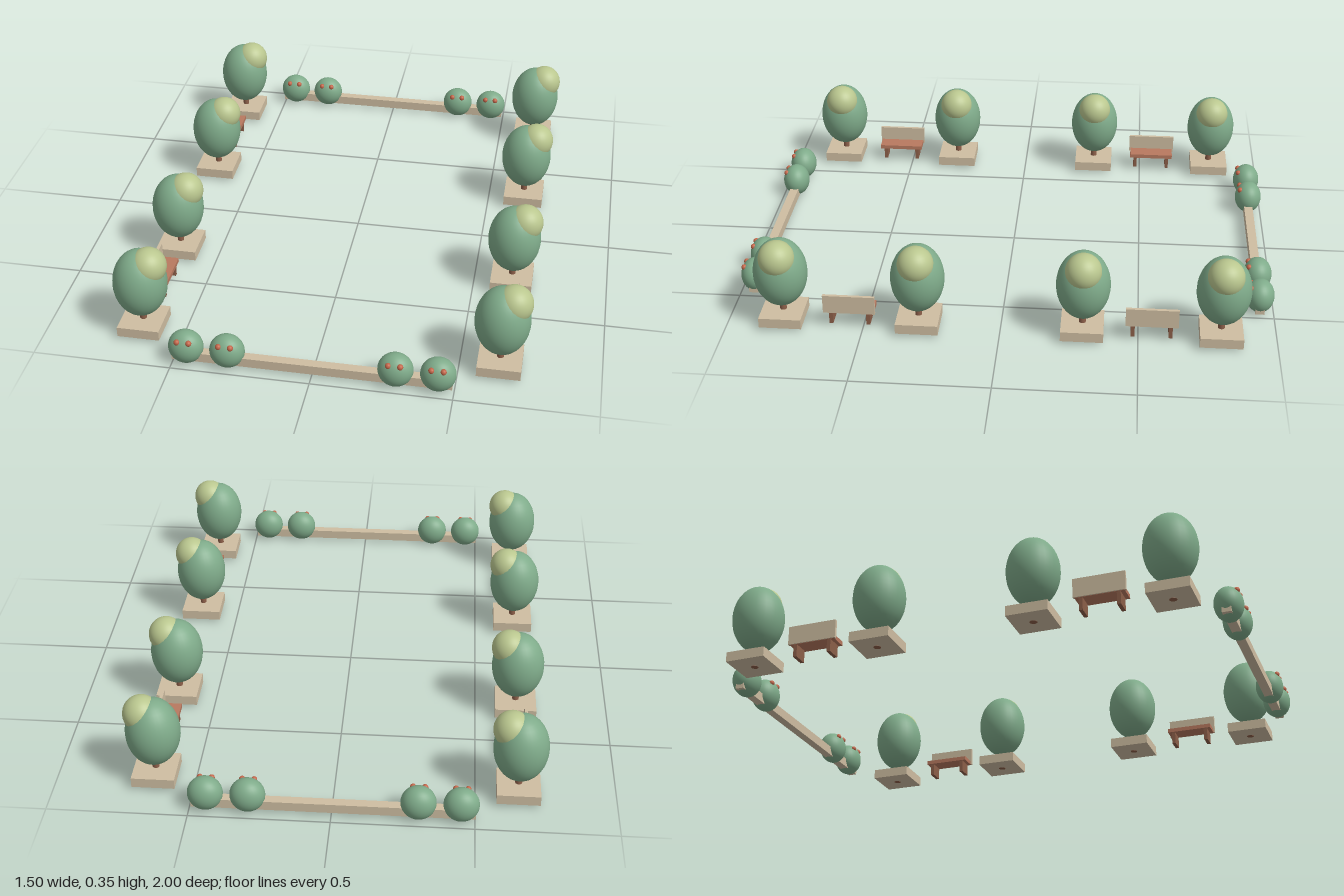
import * as THREE from 'three';

const mat = (name, color) => {
  const m = new THREE.MeshStandardMaterial({ color });
  m.name = name;
  return m;
};

export function createModel() {
  const foliage = mat('foliage green', 0x7fab8a);
  const sunlit = mat('pale leaf green', 0xbac78f);
  const stone = mat('beige stone', 0xcfbea2);
  const wood = mat('red wood', 0xb8795f);
  const darkWood = mat('brown wood', 0x8c5f49);
  const berryRed = mat('berry red', 0xc4674a);

  const ball = new THREE.SphereGeometry(1, 32, 20);
  const smallBall = new THREE.SphereGeometry(1, 12, 8);

  function add(parent, name, geometry, material, x, y, z) {
    const mesh = new THREE.Mesh(geometry, material);
    mesh.name = name;
    mesh.position.set(x, y, z);
    parent.add(mesh);
    return mesh;
  }
  const box = (parent, name, w, h, d, material, x, y, z) =>
    add(parent, name, new THREE.BoxGeometry(w, h, d), material, x, y, z);

  function group(parent, name, x, z) {
    const g = new THREE.Group();
    g.name = name;
    g.position.set(x, 0, z);
    parent.add(g);
    return g;
  }

  // Oval tree in a square planter, with a pale tuft towards +x
  function tree(parent, x, z) {
    const g = group(parent, 'tree', x, z);
    box(g, 'planter', 0.155, 0.038, 0.155, stone, 0, 0.031, 0);
    add(g, 'trunk', new THREE.CylinderGeometry(0.011, 0.014, 0.09, 12), darkWood, 0, 0.056, 0);
    add(g, 'crown', ball, foliage, 0, 0.208, 0).scale.set(0.098, 0.132, 0.098);
    add(g, 'paleTuft', ball, sunlit, 0.036, 0.284, 0).scale.set(0.066, 0.068, 0.066);
  }

  // Bench with its backrest on the outer side
  function bench(parent, x, z, side) {
    const g = group(parent, 'bench', x, z);
    box(g, 'seat', 0.07, 0.016, 0.18, wood, -0.002 * side, 0.069, 0);
    box(g, 'backrest', 0.012, 0.072, 0.19, stone, 0.031 * side, 0.098, 0);
    for (const s of [-1, 1]) box(g, 'benchLeg', 0.06, 0.049, 0.014, darkWood, 0, 0.0375, 0.068 * s);
  }

  // Rounded shrub with two berries on its front
  function shrub(parent, x) {
    const g = group(parent, 'shrub', x, 0);
    add(g, 'shrubLeaves', ball, foliage, 0, 0.064, 0).scale.set(0.063, 0.064, 0.053);
    for (const s of [-1, 1]) add(g, 'berry', smallBall, berryRed, 0.021 * s, 0.104, 0.035).scale.setScalar(0.011);
  }

  const model = new THREE.Group();
  model.name = 'garden';
  const cx = -0.0045;

  for (const side of [-1, 1]) {
    // Side rows: two trees around each bench
    const x = cx + 0.6475 * side;
    for (const end of [-1, 1]) {
      tree(model, x, 0.797 * end);
      tree(model, x, 0.298 * end);
      bench(model, x, 0.548 * end, side);
    }
    // Front and back borders: a low curb with shrubs near its ends
    const border = group(model, side > 0 ? 'frontBorder' : 'backBorder', cx, 0.947 * side);
    box(border, 'curb', 0.996, 0.036, 0.034, stone, 0, 0.03, 0);
    for (const sx of [-0.447, -0.298, 0.298, 0.447]) shrub(border, sx);
  }
  return model;
}
